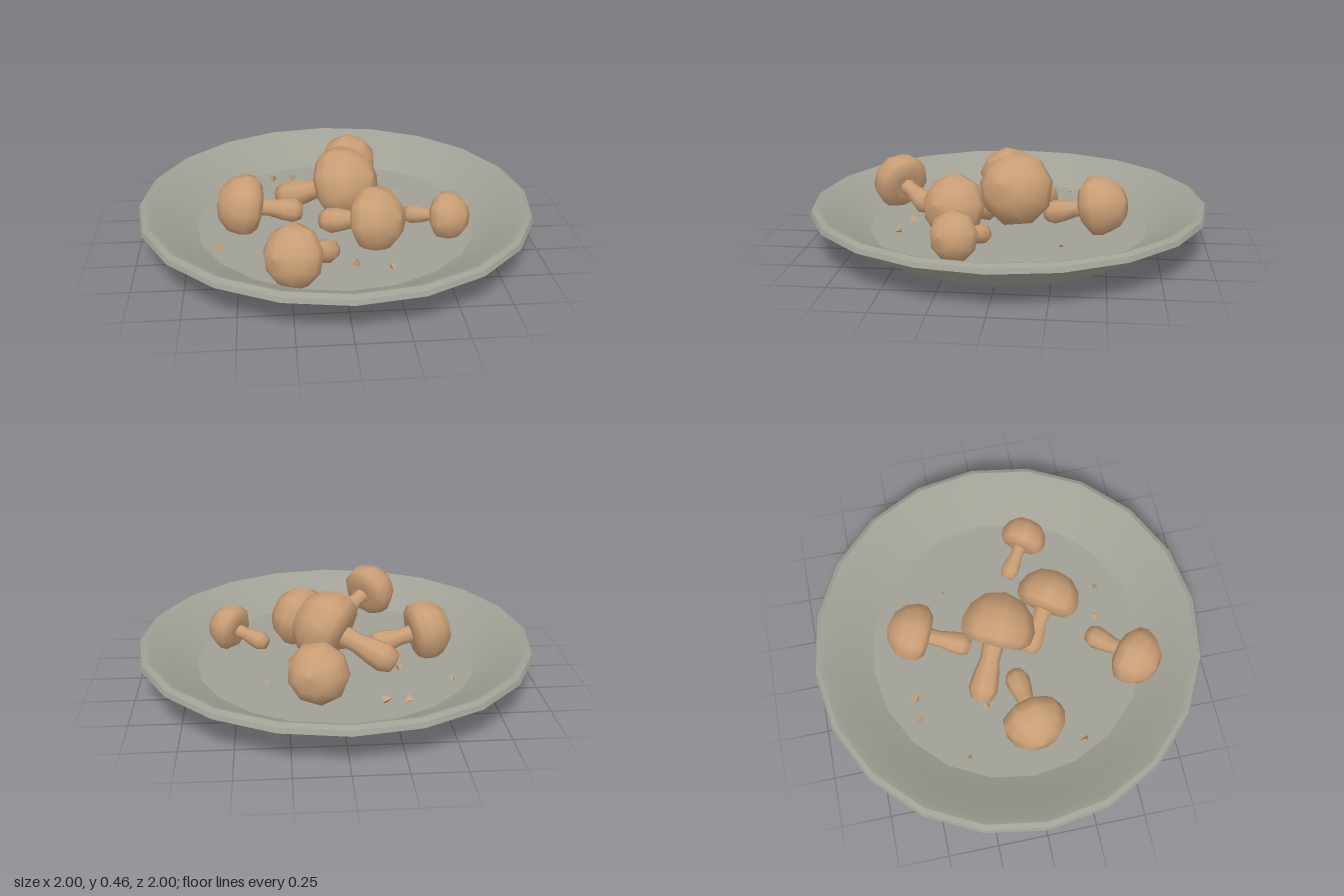
import * as THREE from 'three';
import { toCreasedNormals } from 'three/addons/utils/BufferGeometryUtils.js';

const lathe = (points, sides) =>
  new THREE.LatheGeometry(points.map(([r, y]) => new THREE.Vector2(r, y)), sides);

export function createModel() {
  const model = new THREE.Group();
  const stoneware = new THREE.MeshStandardMaterial({ color: 0xa1a095 });
  stoneware.name = 'stoneware grey';
  const tan = new THREE.MeshStandardMaterial({ color: 0xc99e75 });
  tan.name = 'mushroom tan';

  // Shallow dish with a small rolled rim
  const dish = lathe([
    [0, 0], [0.67, 0], [0.84, 0.095], [1, 0.19], [0.99, 0.212], [0.965, 0.225],
    [0.935, 0.215], [0.83, 0.145], [0.71, 0.085], [0, 0.085],
  ], 20);
  const plate = new THREE.Mesh(toCreasedNormals(dish, 0.45), stoneware);
  plate.name = 'plate';
  model.add(plate);

  // Mushroom parts, lying along +y from the stem foot to the cap top
  const stemGeo = lathe([
    [0, 0], [0.045, 0.008], [0.064, 0.05], [0.056, 0.11], [0.043, 0.17], [0.048, 0.26],
  ], 8);
  const capGeo = lathe([
    [0, 0.235], [0.06, 0.228], [0.12, 0.232], [0.155, 0.262], [0.162, 0.31],
    [0.138, 0.37], [0.085, 0.42], [0, 0.44],
  ], 9);

  // Stem foot, cap top, cap radius, roll
  const mushrooms = [
    [[-0.17, 0.14, 0.0], [-0.6, 0.24, 0.06], 0.16, 0.2],
    [[-0.04, 0.14, 0.42], [-0.33, 0.26, 0.7], 0.15, 0.5],
    [[0.01, 0.14, -0.19], [0.16, 0.26, -0.59], 0.15, 0.9],
    [[-0.29, 0.13, -0.2], [0.19, 0.34, 0.03], 0.19, 0.3],
    [[-0.08, 0.13, 0.09], [0.29, 0.25, 0.33], 0.165, 0.7],
    [[0.35, 0.14, 0.07], [0.63, 0.21, 0.26], 0.122, 0.1],
  ];
  const up = new THREE.Vector3(0, 1, 0);
  mushrooms.forEach(([foot, top, radius, roll], i) => {
    const start = new THREE.Vector3(...foot);
    const axis = new THREE.Vector3(...top).sub(start);
    const length = axis.length();
    const mushroom = new THREE.Group();
    mushroom.name = `mushroom${i + 1}`;
    mushroom.position.copy(start);
    mushroom.quaternion.setFromUnitVectors(up, axis.normalize());
    mushroom.scale.set(radius / 0.16, length / 0.44, radius / 0.16);
    [['stem', stemGeo], ['cap', capGeo]].forEach(([name, geometry]) => {
      const mesh = new THREE.Mesh(geometry, tan);
      mesh.name = name;
      mesh.rotation.y = roll;
      mushroom.add(mesh);
    });
    model.add(mushroom);
  });

  // Crumbs scattered over the dish: x, z, size
  const crumbGeo = new THREE.TetrahedronGeometry(1);
  const crumbs = [
    [-0.31, -0.52, 0.025], [-0.2, -0.52, 0.03], [-0.555, -0.305, 0.018],
    [-0.585, 0.285, 0.03], [0.06, 0.485, 0.028], [0.225, 0.525, 0.022],
    [0.355, -0.285, 0.015], [-0.31, -0.17, 0.025],
  ];
  crumbs.forEach(([x, z, size], i) => {
    const crumb = new THREE.Mesh(crumbGeo, tan);
    crumb.name = `crumb${i + 1}`;
    crumb.position.set(x, 0.085 + size * 0.6, z);
    crumb.rotation.set(i * 1.3, i * 2.1, 0.6);
    crumb.scale.setScalar(size);
    model.add(crumb);
  });

  return model;
}
